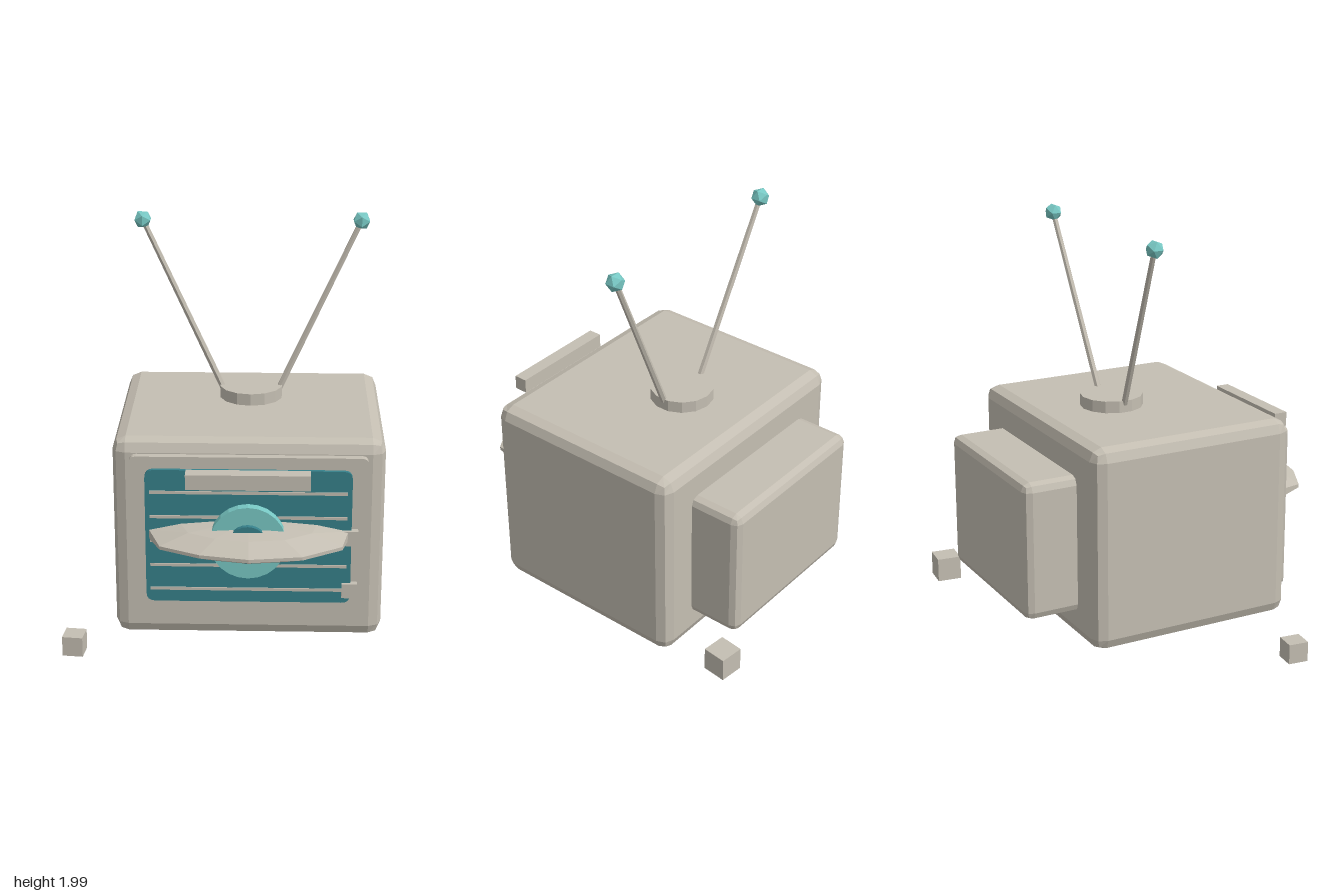
import * as THREE from 'three';
import { RoundedBoxGeometry } from 'three/addons/geometries/RoundedBoxGeometry.js';
import { ConvexGeometry } from 'three/addons/geometries/ConvexGeometry.js';

const material = (name, color) => {
  const m = new THREE.MeshStandardMaterial({ color });
  m.name = name;
  return m;
};

// Give every face its own flat normal
const faceted = (geometry) => {
  const g = geometry.index ? geometry.toNonIndexed() : geometry;
  g.computeVertexNormals();
  return g;
};

// Upright slab with rounded corners, centred on x and y, from z = 0 to depth
function roundedSlab(w, h, r, depth) {
  const x = w / 2, y = h / 2;
  const s = new THREE.Shape();
  s.moveTo(-x + r, -y);
  s.lineTo(x - r, -y);
  s.quadraticCurveTo(x, -y, x, -y + r);
  s.lineTo(x, y - r);
  s.quadraticCurveTo(x, y, x - r, y);
  s.lineTo(-x + r, y);
  s.quadraticCurveTo(-x, y, -x, y - r);
  s.lineTo(-x, -y + r);
  s.quadraticCurveTo(-x, -y, -x + r, -y);
  return new THREE.ExtrudeGeometry(s, { depth, bevelEnabled: false, curveSegments: 4 });
}

export function createModel() {
  const model = new THREE.Group();
  const shell = material('warm grey', 0xc4beb2);
  const teal = material('deep teal', 0x36808a);
  const aqua = material('light aqua', 0x78c8c4);

  const add = (parent, name, geometry, mat, x, y, z) => {
    const mesh = new THREE.Mesh(faceted(geometry), mat);
    mesh.name = name;
    mesh.position.set(x, y, z);
    parent.add(mesh);
    return mesh;
  };

  // Whole set is turned slightly about the vertical
  const set = new THREE.Group();
  set.name = 'televisionSet';
  set.position.set(0.075, 0, 0.018);
  set.rotation.y = 0.105;
  model.add(set);

  // Cabinet and tube housing
  add(set, 'cabinet', new RoundedBoxGeometry(1.23, 0.97, 1.02, 1, 0.06), shell, 0, 0.625, 0);
  add(set, 'rearHousing', new RoundedBoxGeometry(0.855, 0.66, 0.36, 1, 0.04), shell, 0, 0.61, -0.587);

  // Bezel, screen and scan lines
  add(set, 'bezel', roundedSlab(1.07, 0.795, 0.03, 0.06), shell, 0, 0.648, 0.485);
  add(set, 'screen', roundedSlab(0.93, 0.645, 0.04, 0.03), teal, 0, 0.667, 0.533);
  for (let i = 0; i < 5; i++) {
    add(set, 'scanLine', new THREE.BoxGeometry(0.89, 0.014, 0.009), shell, 0, 0.409 + i * 0.1185, 0.563);
  }

  // Control knobs
  for (const y of [0.41, 0.67]) {
    add(set, 'knob', new THREE.BoxGeometry(0.07, 0.07, 0.05), shell, 0.46, y, 0.553);
  }

  // Eye: iris and pupil discs facing forward
  const disc = (r, depth) => new THREE.CylinderGeometry(r, r, depth, 24).rotateX(Math.PI / 2);
  add(set, 'iris', disc(0.172, 0.045), aqua, 0, 0.68, 0.637);
  add(set, 'pupil', disc(0.09, 0.03), teal, 0, 0.68, 0.668);

  // Brow bar
  add(set, 'brow', new THREE.BoxGeometry(0.55, 0.07, 0.065), shell, 0, 0.99, 0.676);

  // Eyelid: thick at the back, thinning to a curved front rim
  const rim = [[-0.447, 0.569], [-0.391, 0.715], [-0.21, 0.804], [0.007, 0.847],
    [0.242, 0.812], [0.42, 0.7], [0.451, 0.564]];
  const lid = [];
  for (const [x, z] of rim) {
    for (const s of [-1, 1]) {
      const end = Math.abs(x) > 0.43 ? 0.022 : 0.008;
      lid.push(new THREE.Vector3(x, s * end, z));
      lid.push(new THREE.Vector3(x * 0.68, s * 0.053, 0.565 + (z - 0.565) * 0.68));
      lid.push(new THREE.Vector3(x * 0.32, s * 0.067, 0.565 + (z - 0.565) * 0.35));
    }
  }
  add(set, 'eyelid', new ConvexGeometry(lid), shell, 0, 0.679, 0);

  // Antenna base, rods and tips
  add(set, 'antennaBase', new THREE.CylinderGeometry(0.15, 0.15, 0.065, 14), shell, 0, 1.134, -0.11);
  const up = new THREE.Vector3(0, 1, 0);
  for (const s of [-1, 1]) {
    const foot = new THREE.Vector3(s * 0.125, 1.13, -0.11);
    const tip = new THREE.Vector3(s * 0.51, 1.957, -0.16);
    const mid = foot.clone().lerp(tip, 0.5);
    const rod = add(set, 'antennaRod', new THREE.CylinderGeometry(0.013, 0.016, foot.distanceTo(tip), 6),
      shell, mid.x, mid.y, mid.z);
    rod.quaternion.setFromUnitVectors(up, tip.clone().sub(foot).normalize());
    add(set, 'antennaTip', new THREE.IcosahedronGeometry(0.044, 0), aqua, tip.x, tip.y, tip.z);
  }

  // Loose cubes floating beside the set
  add(model, 'looseCube', new THREE.BoxGeometry(0.097, 0.097, 0.097), shell, -0.699, 0.05, 0.525);
  add(model, 'looseCube', new THREE.BoxGeometry(0.115, 0.115, 0.115), shell, 0.522, 0.217, -0.808);

  return model;
}
